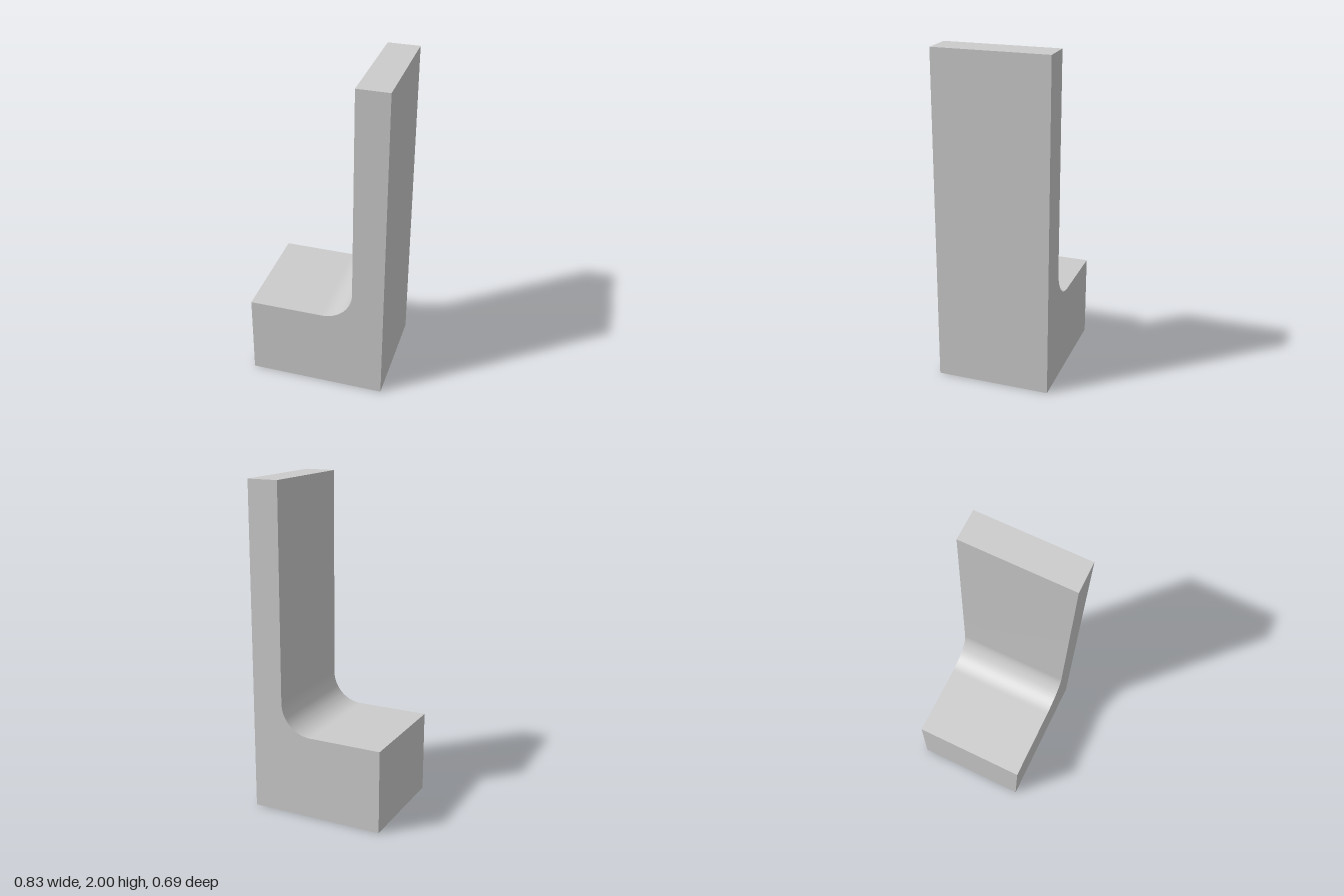
import * as THREE from 'three';
import { toCreasedNormals } from 'three/addons/utils/BufferGeometryUtils.js';

const HALF_WIDTH = 0.415;
const HEIGHT = 2;
const DEPTH = 0.686;
const SEAT_HEIGHT = 0.508;
const BACK_FACE_X = 0.224; // inner face of the upright
const FILLET = 0.19;

export function createModel() {
  const group = new THREE.Group();
  group.name = 'seatBlock';

  // L-shaped side profile with a rounded inner corner
  const profile = new THREE.Shape();
  profile.moveTo(-HALF_WIDTH, 0);
  profile.lineTo(HALF_WIDTH, 0);
  profile.lineTo(HALF_WIDTH, HEIGHT);
  profile.lineTo(BACK_FACE_X, HEIGHT);
  profile.absarc(BACK_FACE_X - FILLET, SEAT_HEIGHT + FILLET, FILLET, 0, -Math.PI / 2, true);
  profile.lineTo(-HALF_WIDTH, SEAT_HEIGHT);
  profile.closePath();

  const geometry = new THREE.ExtrudeGeometry(profile, {
    depth: DEPTH,
    bevelEnabled: false,
    curveSegments: 24,
  });
  geometry.translate(0, 0, -DEPTH / 2);

  // Smooth fillet, sharp outer edges
  const body = new THREE.Mesh(
    toCreasedNormals(geometry, Math.PI / 6),
    new THREE.MeshStandardMaterial({ color: 0xcccccc })
  );
  body.name = 'seatAndBackrest';
  group.add(body);

  return group;
}
